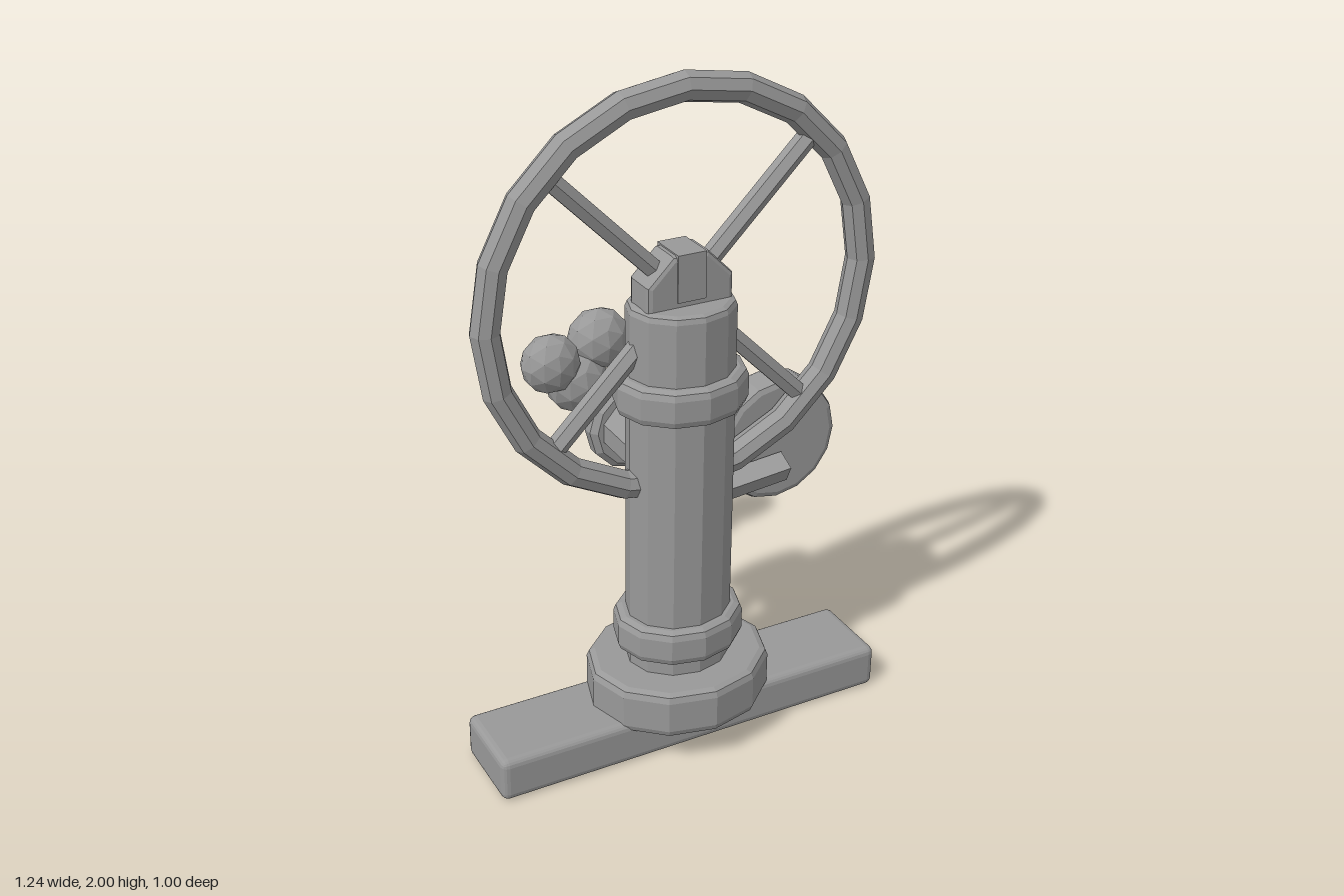
import * as THREE from 'three';
import { RoundedBoxGeometry } from 'three/addons/geometries/RoundedBoxGeometry.js';

const iron = new THREE.MeshStandardMaterial({ color: 0x999999, flatShading: true });
iron.name = 'grey iron';

const Z = 0.257; // depth of the column axis

function faceted(geo) {
  const g = geo.index ? geo.toNonIndexed() : geo;
  g.computeVertexNormals();
  return g;
}

export function createModel() {
  const model = new THREE.Group();
  model.name = 'valvePost';

  function add(parent, name, geo, x = 0, y = 0, z = 0) {
    const mesh = new THREE.Mesh(faceted(geo), iron);
    mesh.name = name;
    mesh.position.set(x, y, z);
    parent.add(mesh);
    return mesh;
  }

  const lathe = (profile, sides) =>
    new THREE.LatheGeometry(profile.map(([r, y]) => new THREE.Vector2(r, y)), sides);

  // Closed drum with chamfered rims, standing on y = 0
  const drum = (r, h, b, sides = 12) =>
    lathe([[0, 0], [r - b, 0], [r - b * 0.3, b * 0.3], [r, b], [r, h - b],
      [r - b * 0.3, h - b * 0.3], [r - b, h], [0, h]], sides);

  // Base bar
  add(model, 'baseBar', new RoundedBoxGeometry(1.24, 0.135, 0.26, 2, 0.022), 0, 0.0675, Z);

  // Column with flange and collars, slightly flattened front to back
  const column = new THREE.Group();
  column.name = 'column';
  column.position.z = Z;
  column.scale.z = 0.877;
  model.add(column);
  add(column, 'baseFlange', drum(0.275, 0.145, 0.025), 0, 0.107);
  add(column, 'shaft', drum(0.156, 1.175, 0.02), 0, 0.2);
  for (const [name, y] of [['lowerCollar', 0.3], ['upperCollar', 1.06]]) {
    add(column, name, drum(0.193, 0.112, 0.025), 0, y);
  }

  // Hand wheel: rim, hub and four diagonal spokes
  const wheel = new THREE.Group();
  wheel.name = 'handWheel';
  wheel.position.set(0, 1.39, Z);
  model.add(wheel);
  add(wheel, 'rim', new THREE.TorusGeometry(0.568, 0.042, 8, 20));
  const hub = drum(0.14, 0.11, 0.015, 8);
  hub.translate(0, -0.055, 0).rotateY(Math.PI / 8).rotateX(Math.PI / 2);
  add(wheel, 'hub', hub);
  add(wheel, 'hubKey', new THREE.BoxGeometry(0.085, 0.135, 0.118), 0, 0.066, 0);
  for (let i = 0; i < 4; i++) {
    const a = Math.PI / 4 + i * Math.PI / 2;
    const spoke = add(wheel, 'spoke', new THREE.CylinderGeometry(0.029, 0.029, 0.5, 6),
      Math.cos(a) * 0.31, Math.sin(a) * 0.31, 0);
    spoke.rotation.z = a - Math.PI / 2;
  }

  // Spout at the back with a recessed mouth
  const spout = new THREE.Group();
  spout.name = 'spout';
  spout.position.set(0, 0.868, 0);
  model.add(spout);
  const neck = new THREE.CylinderGeometry(0.112, 0.112, 0.22, 10).rotateX(Math.PI / 2);
  add(spout, 'spoutNeck', neck.scale(1, 0.84, 1), 0, 0, 0.1);
  const mouth = lathe([[0, 0], [0.125, 0], [0.143, 0.018], [0.143, 0.054], [0.125, 0.072],
    [0.108, 0.072], [0.1, 0.03], [0, 0.03]], 12);
  add(spout, 'spoutMouth', mouth.rotateX(-Math.PI / 2), 0, 0, -0.003);

  // Pressure gauge on the left, its dial facing backwards
  const gauge = new THREE.Group();
  gauge.name = 'gauge';
  gauge.position.set(0.352, 0.838, 0);
  model.add(gauge);
  add(gauge, 'gaugeCase', drum(0.194, 0.106, 0.022, 16).rotateX(-Math.PI / 2), 0, 0, 0.217);
  add(gauge, 'dial', new THREE.CylinderGeometry(0.165, 0.165, 0.016, 16).rotateX(Math.PI / 2), 0, 0, 0.104);
  for (const deg of [30, 90, 150]) {
    const a = deg * Math.PI / 180;
    add(gauge, 'dialPin', new THREE.BoxGeometry(0.016, 0.026, 0.02),
      Math.cos(a) * 0.125, Math.sin(a) * 0.125, 0.088);
  }
  const needle = add(gauge, 'needle', new THREE.BoxGeometry(0.115, 0.014, 0.018), -0.04, 0.04, 0.088);
  needle.rotation.z = -Math.PI / 4;

  // Arm joining the gauge to the column
  const arm = add(model, 'gaugeArm', new THREE.BoxGeometry(0.29, 0.062, 0.062), 0.212, 0.752, 0.24);
  arm.rotation.set(0.5, 0, 0.09, 'ZYX');

  // Drops leaving the spout
  const drops = [[0.083, 0.957, -0.424, 0.103], [-0.096, 0.925, -0.391, 0.097], [0, 0.84, -0.41, 0.104]];
  for (const [x, y, z, r] of drops) {
    add(model, 'drop', new THREE.IcosahedronGeometry(r, 1).scale(1, 1, 0.8), x, y, z);
  }
  return model;
}
